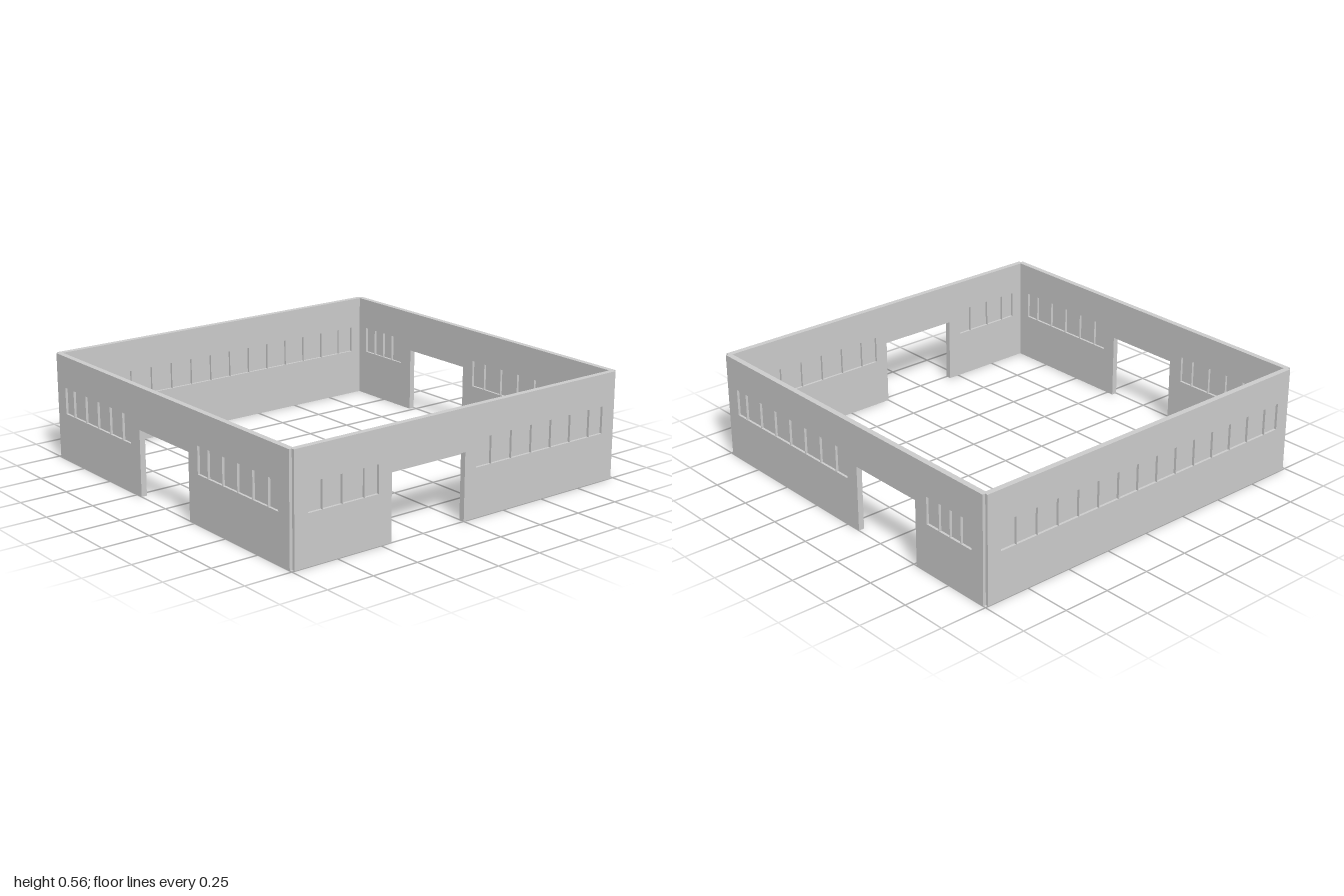
import * as THREE from 'three';

const H = 0.555;          // wall height
const T = 0.03;           // wall thickness
const HALF = 0.985;       // half wall length, leaving a small notch at each corner
const SILL = 0.25, HEAD = 0.39, DOOR = 0.34;

const wallGrey = new THREE.MeshStandardMaterial({ color: 0xcccccc });
wallGrey.name = 'wall grey';

function box(name, w, h, d, x, y, z) {
  const m = new THREE.Mesh(new THREE.BoxGeometry(w, h, d), wallGrey);
  m.name = name;
  m.position.set(x, y, z);
  return m;
}

// Positions from a to b, with end cells narrower or wider than the inner ones
function bars(first, step, count) {
  return Array.from({ length: count }, (_, i) => first + i * step);
}

// One wall along local x, its outer face at local z = 0 and its thickness behind it
function wall(name, door, windows) {
  const g = new THREE.Group();
  g.name = name;
  const s = new THREE.Shape();
  s.moveTo(-HALF, 0);
  if (door) {
    s.lineTo(door[0], 0);
    s.lineTo(door[0], DOOR);
    s.lineTo(door[1], DOOR);
    s.lineTo(door[1], 0);
  }
  s.lineTo(HALF, 0);
  s.lineTo(HALF, H);
  s.lineTo(-HALF, H);
  s.closePath();

  for (const { from, to, mullions } of windows) {
    const hole = new THREE.Path();
    hole.moveTo(from, SILL);
    hole.lineTo(from, HEAD);
    hole.lineTo(to, HEAD);
    hole.lineTo(to, SILL);
    hole.closePath();
    s.holes.push(hole);

    // Recessed pane and the thin upright bars dividing it
    const y = (SILL + HEAD) / 2, h = HEAD - SILL;
    g.add(box('windowPane', to - from, h, 0.004, (from + to) / 2, y, -T / 2));
    for (const x of mullions) g.add(box('mullion', 0.004, h, T, x, y, -T / 2));
  }

  const geo = new THREE.ExtrudeGeometry(s, { depth: T, bevelEnabled: false });
  geo.translate(0, 0, -T);
  const panel = new THREE.Mesh(geo, wallGrey);
  panel.name = 'wallPanel';
  g.add(panel);
  return g;
}

export function createModel() {
  const model = new THREE.Group();
  model.name = 'walledEnclosure';

  // Front: central doorway between two window bands
  const front = wall('frontWall', [-0.21, 0.21], [
    { from: -0.91, to: -0.29, mullions: bars(-0.83, 0.116, 5) },
    { from: 0.285, to: 0.905, mullions: bars(0.365, 0.116, 5) },
  ]);
  front.position.z = 1;

  // Back: local x runs opposite to model x
  const back = wall('backWall', [0.085, 0.52], [
    { from: -0.905, to: 0.01, mullions: bars(-0.83, 0.125, 7) },
    { from: 0.6, to: 0.91, mullions: [0.685, 0.76, 0.835] },
  ]);
  back.rotation.y = Math.PI;
  back.position.z = -1;

  // Left (+x): local x runs along -z
  const left = wall('leftWall', [-0.44, 0], [
    { from: -0.91, to: -0.515, mullions: [-0.83, -0.72, -0.595] },
    { from: 0.07, to: 0.905, mullions: bars(0.165, 0.13, 6) },
  ]);
  left.rotation.y = Math.PI / 2;
  left.position.x = 1;

  // Right (-x): one unbroken window band
  const right = wall('rightWall', null, [
    { from: -0.91, to: 0.91, mullions: bars(-0.818, 0.126, 14) },
  ]);
  right.rotation.y = -Math.PI / 2;
  right.position.x = -1;

  model.add(front, back, left, right);
  return model;
}
